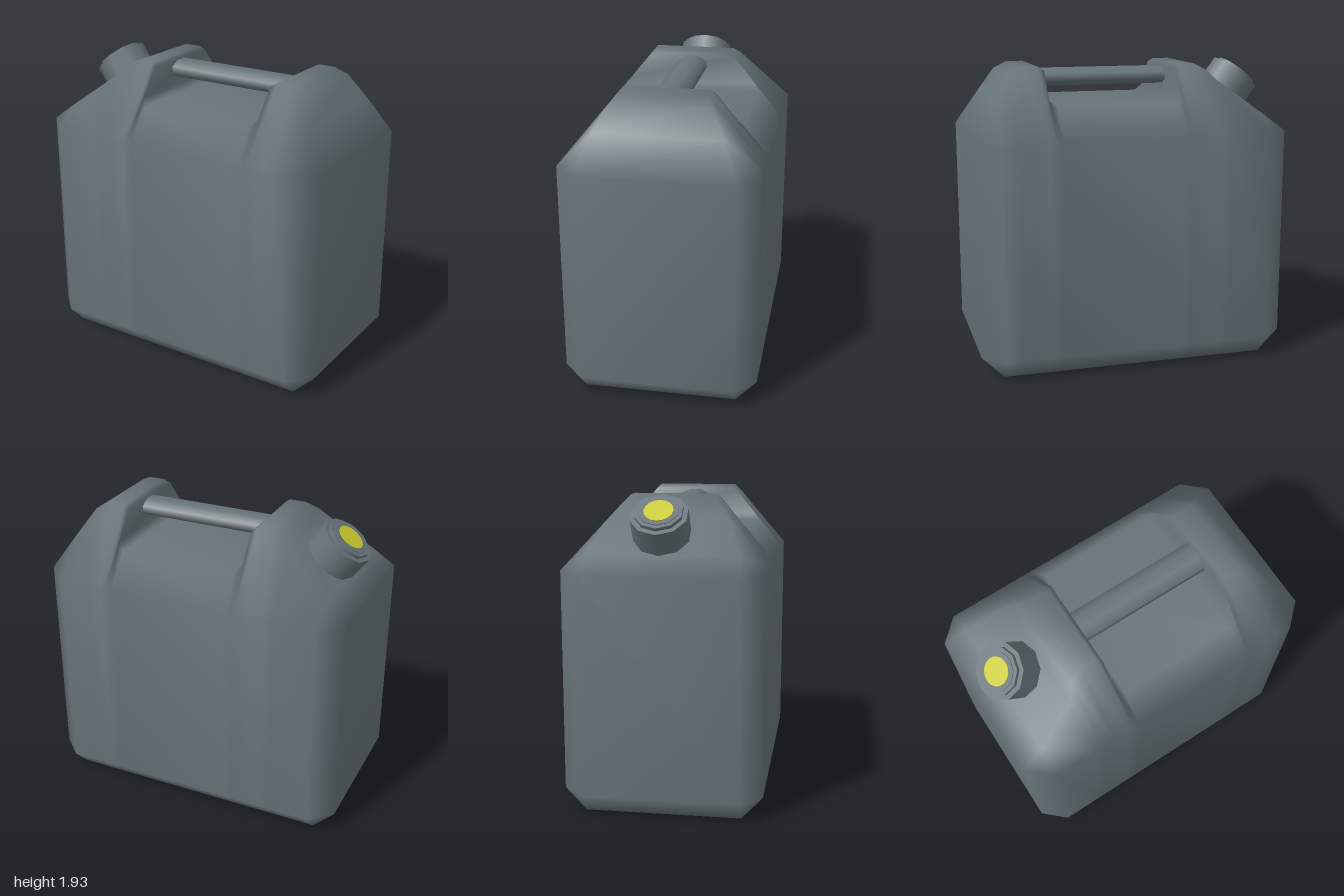
import * as THREE from 'three';
import { mergeVertices } from 'three/addons/utils/BufferGeometryUtils.js';

const plastic = new THREE.MeshStandardMaterial({ color: 0x667379 });
plastic.name = 'slate grey plastic';
const yellow = new THREE.MeshStandardMaterial({ color: 0xc8c82e });
yellow.name = 'yellow paint';

const SHOULDER = 1.49, DEPTH = 0.61, CUT = 0.14;

// Top outline of the can: x, height, optional half depth of the top edge
const OUTLINE = [
  [-1, 1.49, 0.48], [-0.86, 1.597, 0.45], [-0.58, 1.81], [-0.53, 1.87], [-0.45, 1.915], [-0.34, 1.915],
  [-0.31, 1.89], [-0.31, 1.72], [-0.27, 1.68], [0.49, 1.68], [0.535, 1.72], [0.535, 1.89],
  [0.57, 1.915], [0.68, 1.915], [0.76, 1.87], [0.86, 1.71, 0.39], [1, 1.49, 0.48],
];

// Eight-point cross-section across z for one station of the outline
function section([x, top, topHalf]) {
  const end = Math.abs(x) > 0.99;
  const side = end ? 0.48 : DEPTH;
  const t = topHalf ?? DEPTH - 0.82 * (top - SHOULDER);
  const half = [[0.48, end ? CUT : 0], [side, CUT], [side, SHOULDER], [t, top]];
  const mirrored = half.map(([z, y]) => [-z, y]).reverse();
  return [...half, ...mirrored].map(([z, y]) => [x, y, z]);
}

// Body lofted along x, with closed ends and softened bevels
function bodyGeometry() {
  const rings = OUTLINE.map(section);
  const n = 8, last = (rings.length - 1) * n, index = [];
  for (let i = 0; i < rings.length - 1; i++) {
    for (let j = 0; j < n; j++) {
      const a = i * n + j, b = i * n + (j + 1) % n;
      index.push(a, a + n, b, b, a + n, b + n);
    }
  }
  for (let k = 1; k < n - 1; k++) {
    index.push(0, k, k + 1);
    index.push(last, last + k + 1, last + k);
  }
  const geometry = new THREE.BufferGeometry();
  geometry.setAttribute('position', new THREE.Float32BufferAttribute(rings.flat(2), 3));
  geometry.setIndex(index);
  const merged = mergeVertices(geometry, 1e-4);
  merged.computeVertexNormals();
  return merged;
}

function addMesh(parent, name, geometry, material) {
  const mesh = new THREE.Mesh(geometry, material);
  mesh.name = name;
  parent.add(mesh);
  return mesh;
}

// Upright cylinder from height y0 to y1
function drum(radius, y0, y1, sides = 10) {
  return new THREE.CylinderGeometry(radius, radius, y1 - y0, sides, 1, false, Math.PI / 2)
    .translate(0, (y0 + y1) / 2, 0);
}

export function createModel() {
  const model = new THREE.Group();
  model.name = 'fuelCan';

  addMesh(model, 'body', bodyGeometry(), plastic);

  // Carrying bar bridging the slot, wider than it is tall
  const bar = new THREE.CylinderGeometry(1, 1, 0.865, 8, 1, false, Math.PI / 8);
  bar.rotateZ(Math.PI / 2).scale(1, 0.06, 0.103).translate(0.1125, 1.83, 0);
  addMesh(model, 'handle', bar, plastic);

  // Screw cap standing square on the sloping shoulder
  const cap = new THREE.Group();
  cap.name = 'cap';
  cap.position.set(-0.735, 1.70, -0.02);
  cap.rotation.z = Math.atan2(0.606, 0.795);
  addMesh(cap, 'capCollar', drum(0.175, -0.06, 0.16), plastic);
  addMesh(cap, 'capLip', drum(0.145, 0.15, 0.182), plastic);
  addMesh(cap, 'capTop', drum(0.12, 0.17, 0.187), plastic);
  addMesh(cap, 'capMark', drum(0.088, 0.185, 0.191, 16), yellow);
  model.add(cap);

  return model;
}
